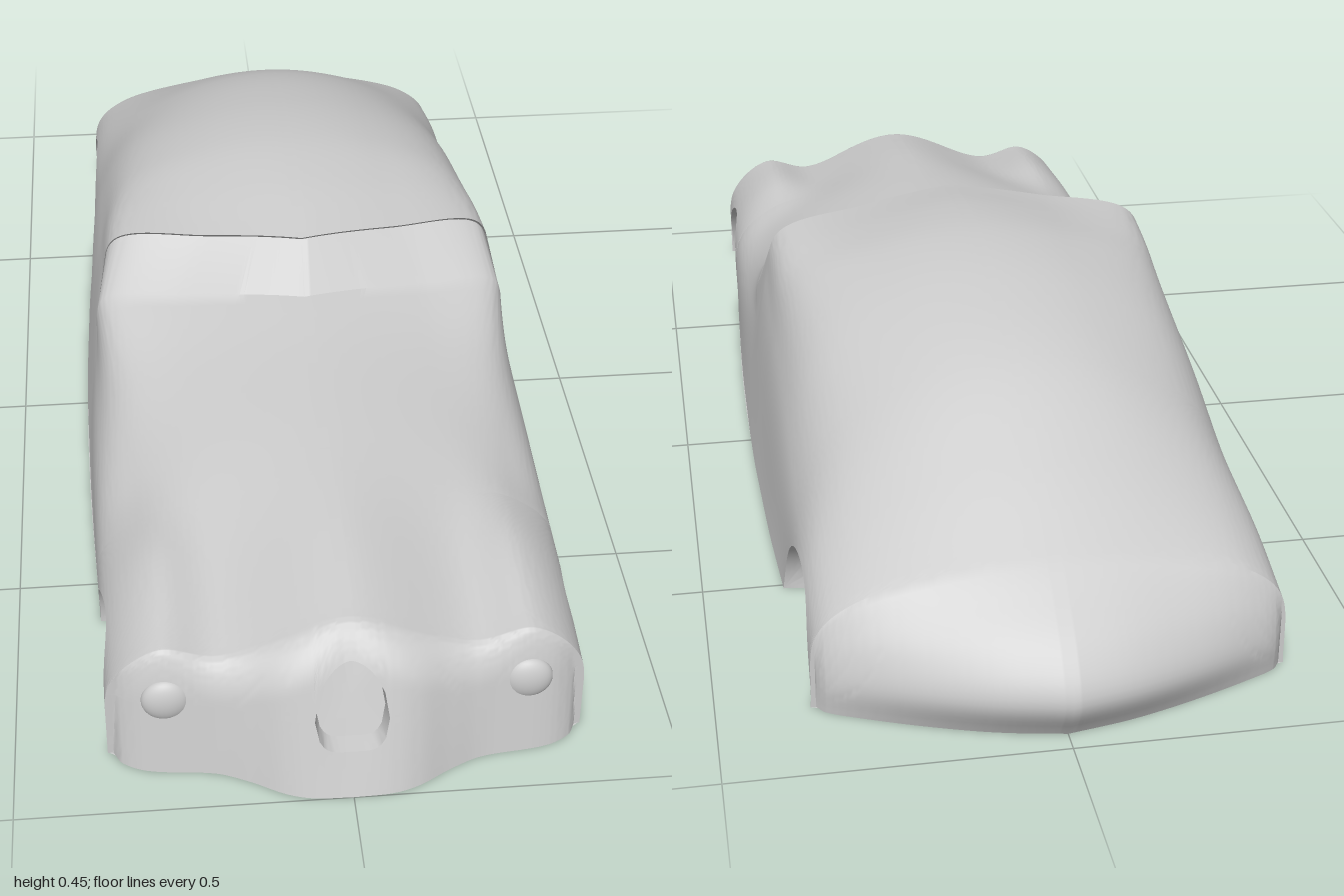
import * as THREE from 'three';
import { toCreasedNormals } from 'three/addons/utils/BufferGeometryUtils.js';

const MAT = new THREE.MeshStandardMaterial({ color: 0xcccccc, side: THREE.DoubleSide });
const HALF = 80;

// Half cross-sections: z, sill x, side x/y, shoulder (or wing crown) x/y, upper x/y, centre y
const HOOD = [
  [0.88, 0.358, 0.352, 0.14, 0.28, 0.205, 0.19, 0.188, 0.25],
  [0.70, 0.363, 0.356, 0.15, 0.28, 0.225, 0.19, 0.22, 0.278],
  [0.50, 0.372, 0.360, 0.15, 0.30, 0.208, 0.20, 0.257, 0.30],
  [0.30, 0.381, 0.362, 0.17, 0.317, 0.25, 0.20, 0.292, 0.32],
  [0.18, 0.384, 0.360, 0.20, 0.342, 0.30, 0.20, 0.322, 0.337],
];
const CABIN = [
  [0.13, 0.385, 0.345, 0.31, 0.317, 0.388, 0.16, 0.412, 0.424],
  [-0.02, 0.385, 0.347, 0.28, 0.31, 0.378, 0.16, 0.426, 0.447],
  [-0.17, 0.383, 0.346, 0.27, 0.297, 0.37, 0.15, 0.433, 0.454],
  [-0.34, 0.379, 0.346, 0.24, 0.287, 0.343, 0.15, 0.413, 0.436],
  [-0.53, 0.370, 0.348, 0.18, 0.287, 0.28, 0.15, 0.362, 0.389],
  [-0.70, 0.365, 0.352, 0.15, 0.30, 0.215, 0.16, 0.281, 0.306],
  [-0.84, 0.360, 0.350, 0.12, 0.30, 0.168, 0.16, 0.208, 0.225],
];
// Plan outlines of nose and tail: x, z
const NOSE = [[0, 1], [0.06, 0.997], [0.1, 0.985], [0.15, 0.957], [0.2, 0.936], [0.3, 0.922], [0.34, 0.902], [0.352, 0.88]];
const TAIL = [[0, -1], [0.1, -0.975], [0.2, -0.935], [0.3, -0.885], [0.34, -0.86], [0.352, -0.84]];
const TAIL_SIDE = [[0, 0], [0.11, 0.23], [0.4, 0.76], [0.69, 1], [1, 0.78]];
const ARCHES = [{ c: 0.735, r: 0.145, h: 0.15 }, { c: -0.675, r: 0.165, h: 0.147 }];
const WELL_DEPTH = 0.13;

// Smooth interpolation of table rows keyed by their first value
function lookup(table, v) {
  const dir = Math.sign(table[1][0] - table[0][0]);
  const last = table.length - 1;
  let i = 0;
  while (i < last - 1 && (v - table[i + 1][0]) * dir > 0) i++;
  const a = table[i], b = table[i + 1], h = b[0] - a[0];
  const u = Math.min(1, Math.max(0, (v - a[0]) / h));
  const slope = (k, col) => {
    const p = table[Math.max(0, k - 1)], q = table[Math.min(last, k + 1)];
    return (q[col] - p[col]) / (q[0] - p[0]);
  };
  return a.slice(1).map((_, k) => {
    const col = k + 1, u2 = u * u, u3 = u2 * u;
    return a[col] * (2 * u3 - 3 * u2 + 1) + b[col] * (3 * u2 - 2 * u3)
      + h * (slope(i, col) * (u3 - 2 * u2 + u) + slope(i + 1, col) * (u3 - u2));
  });
}

function section(z) {
  const [w, x1, y1, x2, y2, x3, y3, top] = lookup(z > 0.15 ? HOOD : CABIN, z);
  const half = [[w, 0], [x1, y1], [x2, y2], [x3, y3]];
  const pts = [...half, [0, top], ...half.map(([x, y]) => [-x, y]).reverse()];
  return new THREE.CatmullRomCurve3(pts.map(([x, y]) => new THREE.Vector3(x, y, z)));
}

// Curve parameter where the side wall reaches height y
function sideParam(curve, y) {
  let lo = 0, hi = 0.25;
  if (y < 1e-5) return 0;
  for (let i = 0; i < 26; i++) {
    const mid = (lo + hi) / 2;
    if (curve.getPoint(mid).y < y) lo = mid; else hi = mid;
  }
  return lo;
}

function archHeight(z) {
  let y = 0;
  for (const { c, r, h } of ARCHES) y = Math.max(y, h * Math.sqrt(Math.max(0, 1 - ((z - c) / r) ** 2)));
  return y;
}

const mirrorRow = (half) => [...half, ...half.slice(0, -1).reverse().map((p) => new THREE.Vector3(-p.x, p.y, p.z))];

// One body row, left sill to right sill, swept back in a V around the windscreen
function bodyRow(z) {
  const curve = section(z), t0 = sideParam(curve, archHeight(z));
  const half = [];
  for (let j = 0; j <= HALF; j++) {
    const s = 1 - (1 - j / HALF) ** 1.4;
    const p = curve.getPoint(t0 + (0.5 - t0) * s);
    p.z = z - 0.27 * Math.abs(p.x) * Math.exp(-(((z - 0.1) / 0.2) ** 2));
    half.push(p);
  }
  return mirrorRow(half);
}

// Surface through rows of points
function grid(name, rows, crease = 0.7) {
  const n = rows[0].length, index = [];
  for (let i = 0; i < rows.length - 1; i++)
    for (let j = 0; j < n - 1; j++) {
      const a = i * n + j, b = a + n;
      index.push(a, b, a + 1, a + 1, b, b + 1);
    }
  const geo = new THREE.BufferGeometry().setFromPoints(rows.flat());
  geo.setIndex(index);
  const mesh = new THREE.Mesh(toCreasedNormals(geo, crease), MAT);
  mesh.name = name;
  return mesh;
}

const steps = (n, f) => Array.from({ length: n + 1 }, (_, i) => f(i / n));
const archSteps = ({ c, r }) => steps(28, (u) => c + r * Math.cos(u * Math.PI));
const span = (a, b, n) => steps(n, (u) => a + (b - a) * u);

// Nose surface depth below the ring height yTop
function nosePoint(x, y, yTop) {
  const ax = Math.abs(x), d = Math.min(1, (yTop - y) / 0.06);
  const lean = 0.15 + 0.2 * Math.max(0, 1 - ax / 0.2);
  const reach = Math.max(0, lookup(NOSE, ax)[0] - lean * y - 0.88);
  return new THREE.Vector3(x, y, 0.88 + reach * Math.sqrt(1 - (1 - d) ** 2));
}

export function createModel() {
  const car = new THREE.Group();
  const [front, rear] = ARCHES;

  // Nose columns drop from the first body row and part around the grille
  const ring = bodyRow(0.88);
  const EGG = 0.055, MID = 0.12;
  const columns = ring.map((p) => {
    const ax = Math.abs(p.x);
    const x = Math.abs(ax - EGG) < 0.004 ? Math.sign(p.x) * EGG : p.x;
    const q = Math.min(1, Math.abs(x) / EGG);
    return {
      x, top: p.y,
      up: Math.min(p.y, MID + 0.085 * Math.sqrt(1 - q * q)),
      low: Math.min(p.y, MID - 0.05 * Math.sqrt(1 - q ** 4)),
    };
  });
  const upper = steps(14, (k) => columns.map((c) => nosePoint(c.x, c.top + (c.up - c.top) * k * k, c.top)));
  const lower = steps(8, (k) => columns.map((c) => nosePoint(c.x, c.low * (1 - k), c.top)));

  // Windscreen head row, tucked under the roof lip
  const head = bodyRow(0.13).map((p) => (p.y > 0.36 ? new THREE.Vector3(p.x, p.y - 0.01, p.z - 0.012) : p));

  const body = [
    ...archSteps(front), ...span(0.59, 0.18, 18).slice(1),
  ].map(bodyRow);
  body.push(head, ...[...span(0.13, -0.51, 28), ...archSteps(rear).slice(1)].map(bodyRow));

  // Rounded tail
  const last = body[body.length - 1];
  const tail = steps(20, (k) => last.map((p) => {
    const reach = Math.min(0, lookup(TAIL, Math.abs(p.x))[0] + 0.84);
    return new THREE.Vector3(p.x, p.y * (1 - k), -0.84 + reach * lookup(TAIL_SIDE, k)[0]);
  }));

  car.add(grid('bodyShell', [...upper.slice(1).reverse(), ...body, ...tail.slice(1)]));
  car.add(grid('lowerNose', [...lower].reverse()));

  // Recessed grille
  const inEgg = (p) => Math.abs(p.x) <= EGG + 1e-6;
  const rim = [...upper[upper.length - 1].filter(inEgg), ...lower[0].filter(inEgg).reverse()];
  rim.push(rim[0].clone());
  const back = rim.map((p) => new THREE.Vector3(p.x * 0.94, MID + (p.y - MID) * 0.95, p.z - 0.03));
  const centre = new THREE.Vector3(0, 0.13, 0.925);
  car.add(grid('grilleRecess', [rim, back, rim.map(() => centre.clone())], 0.5));

  // Headlamps
  for (const side of [1, -1]) {
    const lamp = new THREE.Mesh(new THREE.SphereGeometry(0.037, 32, 20), MAT);
    lamp.name = side > 0 ? 'leftHeadlamp' : 'rightHeadlamp';
    lamp.scale.z = 0.5;
    lamp.position.set(side * 0.27, 0.125, 0.9);
    car.add(lamp);
  }

  // Domed wheel wells, from arch edge in to the floor notch
  ARCHES.forEach(({ c, r, h }, i) => {
    for (const side of [1, -1]) {
      const rows = steps(14, (v) => steps(28, (u) => {
        const a = u * Math.PI, phi = v * Math.PI / 2, z = c + r * Math.cos(a);
        const y = v === 1 ? 0 : h * Math.sin(a) * Math.cos(phi) ** 0.7;
        const curve = section(z);
        const x = curve.getPoint(sideParam(curve, y)).x - WELL_DEPTH * Math.sin(a) * Math.sin(phi) ** 0.7;
        return new THREE.Vector3(side * x, y, z);
      }));
      if (side < 0) rows.reverse();
      car.add(grid((side > 0 ? 'left' : 'right') + (i ? 'Rear' : 'Front') + 'WheelWell', rows));
    }
  });

  // Flat floor with notches for the wheels
  const sill = (z) => section(z).getPoint(0).x;
  const notch = ({ c, r }) => steps(28, (u) => {
    const z = c + r * Math.cos(u * Math.PI);
    return [sill(z) - WELL_DEPTH * Math.sin(u * Math.PI), z];
  });
  const edge = [...notch(front), ...span(0.55, -0.48, 24).map((z) => [sill(z), z]), ...notch(rear)];
  const endRow = (row) => row.filter((p) => Math.abs(p.x) < 0.35).map((p) => [p.x, p.z]);
  const outline = [
    ...endRow(lower[lower.length - 1]),
    ...edge.map(([x, z]) => [-x, z]),
    ...endRow(tail[tail.length - 1]).reverse(),
    ...[...edge].reverse(),
  ];
  const floorGeo = new THREE.ShapeGeometry(new THREE.Shape(outline.map(([x, z]) => new THREE.Vector2(x, z))));
  floorGeo.rotateX(Math.PI / 2);
  const floor = new THREE.Mesh(floorGeo, MAT);
  floor.name = 'floor';
  car.add(floor);
  return car;
}
